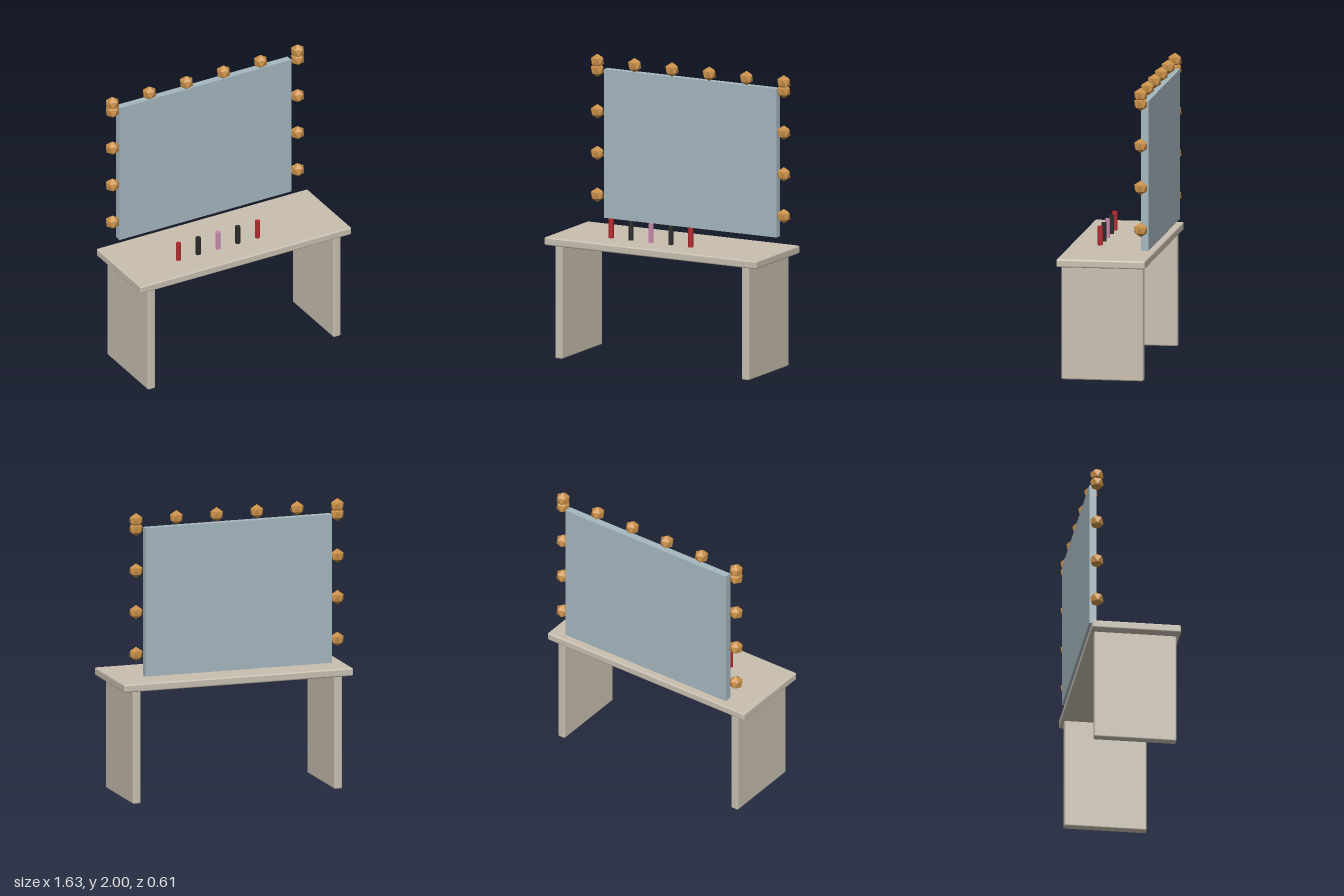
import * as THREE from 'three';
import { RoundedBoxGeometry } from 'three/addons/geometries/RoundedBoxGeometry.js';

const mat = (name, color, flatShading = false) => {
  const m = new THREE.MeshStandardMaterial({ color, flatShading });
  m.name = name;
  return m;
};

export function createModel() {
  const model = new THREE.Group();
  model.name = 'vanityTable';

  const wood = mat('paleWood', 0xc8bfb0);
  const glass = mat('mirrorBlue', 0xa5b7bf);
  const amber = mat('amberBulb', 0xc88f48, true);
  const red = mat('lipstickRed', 0xb32a2e, true);
  const black = mat('lipstickBlack', 0x2b2b2c, true);
  const pink = mat('lipstickPink', 0xc68aab, true);

  const add = (name, geometry, material, x, y, z) => {
    const mesh = new THREE.Mesh(geometry, material);
    mesh.name = name;
    mesh.position.set(x, y, z);
    model.add(mesh);
  };

  // Table top and the two panel legs, with softened edges
  add('tableTop', new RoundedBoxGeometry(1.635, 0.055, 0.605, 2, 0.011), wood, 0, 0.8035, 0);
  const legGeo = new RoundedBoxGeometry(0.058, 0.785, 0.56, 2, 0.011);
  add('leftLeg', legGeo, wood, 0.718, 0.3925, 0);
  add('rightLeg', legGeo, wood, -0.718, 0.3925, 0);

  // Mirror panel floating just above the table
  add('mirror', new THREE.BoxGeometry(1.33, 1.022, 0.05), glass, 0, 1.389, -0.277);

  // Faceted bulbs, turned so that a vertex points up
  const bulbGeo = new THREE.IcosahedronGeometry(0.05, 0);
  bulbGeo.rotateZ(-Math.atan(2 / (1 + Math.sqrt(5))));
  const step = 0.287;
  for (let i = 0; i < 6; i++) {
    add('topBulb', bulbGeo, amber, (i - 2.5) * step, 1.95, -0.258);
  }
  for (const side of [-1, 1]) {
    for (let i = 0; i < 4; i++) {
      add('sideBulb', bulbGeo, amber, side * 2.5 * step, 1.03 + i * step, -0.258);
    }
  }

  // Row of lipsticks
  const stickGeo = new THREE.CylinderGeometry(0.018, 0.018, 0.13, 8);
  [red, black, pink, black, red].forEach((m, i) => {
    add('lipstick', stickGeo, m, -0.411 + i * 0.153, 0.895, 0.102);
  });

  return model;
}
